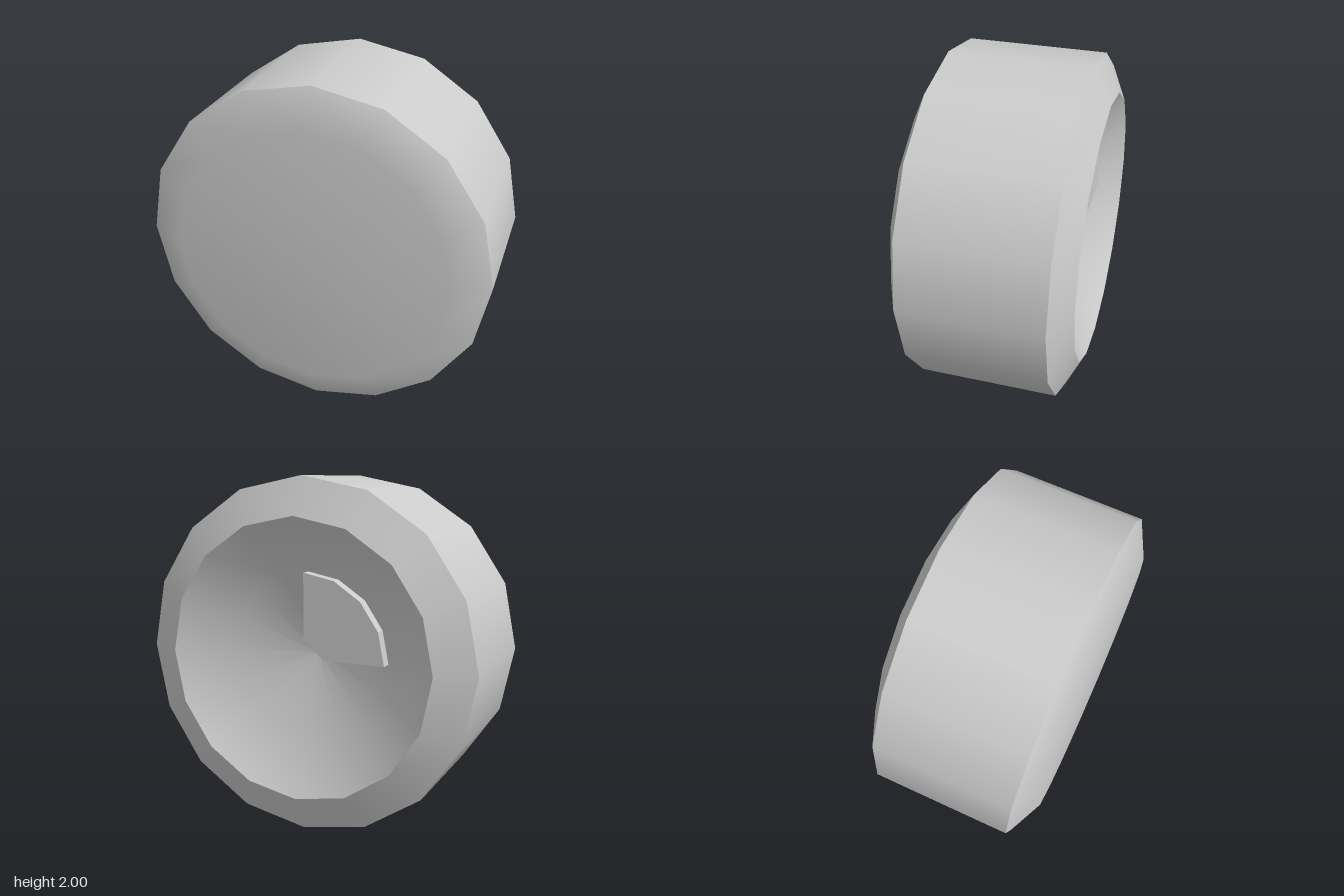
import * as THREE from 'three';

const SIDES = 16;

export function createModel() {
  const group = new THREE.Group();
  group.name = 'wheel';
  const material = new THREE.MeshStandardMaterial({ color: 0xcccccc });

  const add = (name, geometry) => {
    const mesh = new THREE.Mesh(geometry, material);
    mesh.name = name;
    mesh.position.y = 1;
    group.add(mesh);
  };

  // Turned surface around the axle: points are [radius, z], listed back to front
  const turned = (name, points) => {
    const profile = points.map(([r, z]) => new THREE.Vector2(r, z));
    add(name, new THREE.LatheGeometry(profile, SIDES).rotateX(Math.PI / 2));
  };

  // Separate surfaces keep the edges between them sharp
  turned('backDish', [[0, -0.2], [0.49, -0.3], [0.79, -0.5]]);
  turned('backBevel', [[0.79, -0.5], [1, -0.4]]);
  turned('tread', [[1, -0.4], [1, 0.4]]);
  turned('frontCap', [[1, 0.4], [0.79, 0.5], [0, 0.5]]);

  // Quarter-disc plate inside the dish, with its inner corner cut off
  const outline = [new THREE.Vector2(0, 0.1)];
  for (let i = 0; i <= 4; i++) {
    const a = Math.PI / 2 + (i * Math.PI) / 8;
    outline.push(new THREE.Vector2(0.48 * Math.cos(a), 0.48 * Math.sin(a)));
  }
  outline.push(new THREE.Vector2(-0.12, 0));
  const plate = new THREE.ExtrudeGeometry(new THREE.Shape(outline), { depth: 0.065, bevelEnabled: false });
  add('quarterPlate', plate.translate(0, 0, -0.385));

  return group;
}
